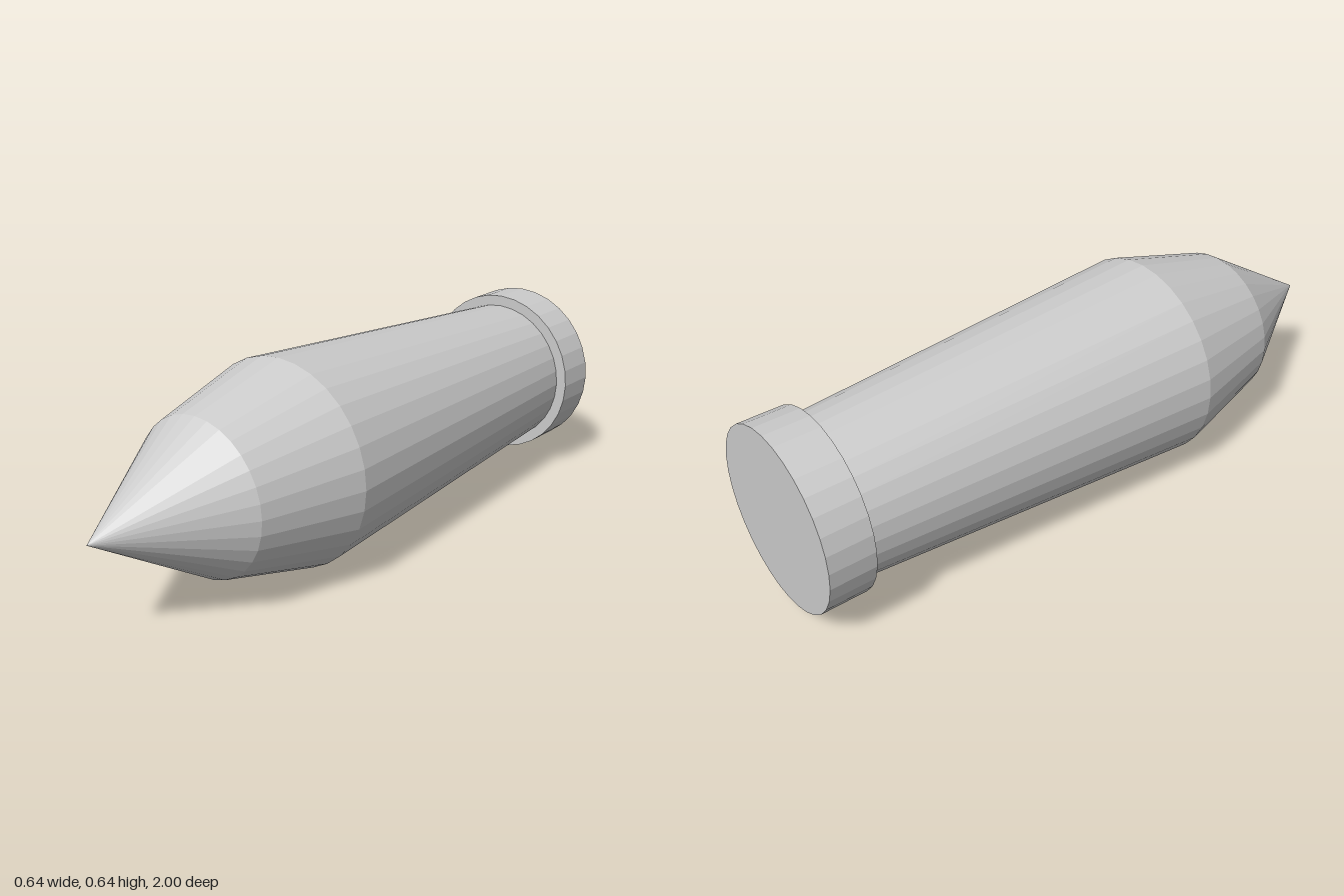
import * as THREE from 'three';

const SIDES = 32;
const RADIUS = 0.32;

export function createModel() {
  const model = new THREE.Group();
  model.name = 'projectile';
  const material = new THREE.MeshStandardMaterial({ color: 0xcccccc, flatShading: true });

  // Turns a [radius, z] profile, listed back to front, around the long axis
  const turned = (name, profile) => {
    const points = profile.map(([r, z]) => new THREE.Vector2(r, z));
    const geometry = new THREE.LatheGeometry(points, SIDES).rotateX(Math.PI / 2);
    const mesh = new THREE.Mesh(geometry, material);
    mesh.name = name;
    mesh.position.y = RADIUS;
    model.add(mesh);
  };

  // Wide flat-ended collar at the back
  turned('rearCollar', [[0, -1], [0.275, -1], [0.275, -0.86], [0, -0.86]]);
  // Long body, widening towards the front
  turned('body', [[0.24, -0.86], [RADIUS, 0.29]]);
  // Shoulder tapering in to the nose
  turned('shoulder', [[RADIUS, 0.29], [0.236, 0.617]]);
  // Pointed nose
  turned('noseCone', [[0.236, 0.617], [0, 1]]);

  return model;
}
